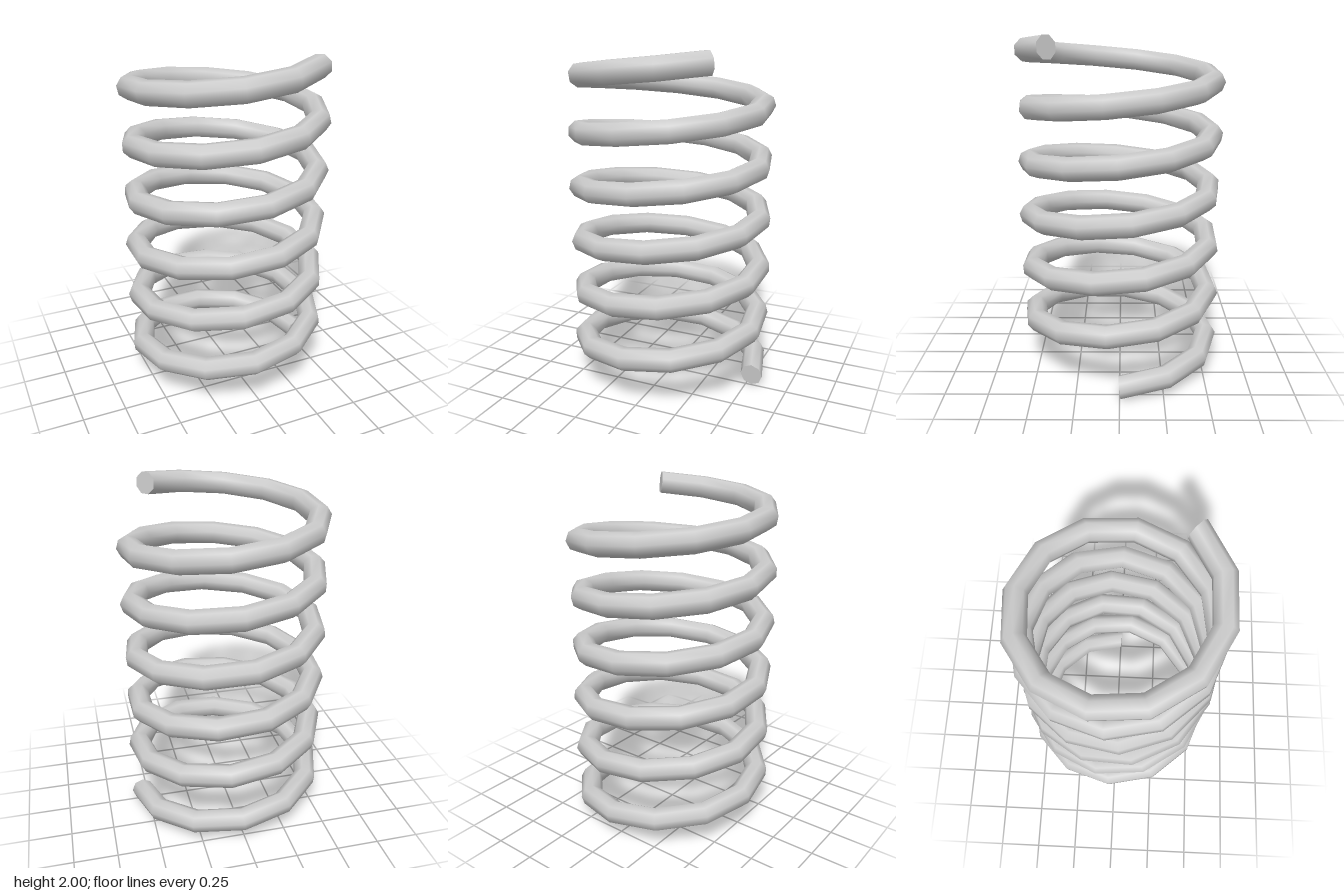
import * as THREE from 'three';

const COIL_RADIUS = 0.533;
const WIRE_RADIUS = 0.067;
const HEIGHT = 1.866; // between wire centres
const TURNS = 5.875;
const SEGMENTS = 72;
const SIDES = 8;

// Rising helix that starts on +x and turns towards the back
class Helix extends THREE.Curve {
  getPoint(t, target = new THREE.Vector3()) {
    const a = t * TURNS * Math.PI * 2;
    return target.set(
      COIL_RADIUS * Math.cos(a),
      WIRE_RADIUS + t * HEIGHT,
      -COIL_RADIUS * Math.sin(a)
    );
  }
}

// Flat fan that closes one ring of the tube
function endCap(tube, ring, reversed) {
  const pos = tube.attributes.position;
  const points = [];
  const centre = new THREE.Vector3();
  for (let j = 0; j < SIDES; j++) {
    const p = new THREE.Vector3().fromBufferAttribute(pos, ring * (SIDES + 1) + j);
    points.push(p);
    centre.addScaledVector(p, 1 / SIDES);
  }
  if (reversed) points.reverse();
  const corners = points.flatMap((p, j) => [centre, p, points[(j + 1) % SIDES]]);
  const geometry = new THREE.BufferGeometry().setFromPoints(corners);
  geometry.computeVertexNormals();
  return geometry;
}

export function createModel() {
  const group = new THREE.Group();
  group.name = 'coilSpring';
  const material = new THREE.MeshStandardMaterial({ color: 0xcccccc, side: THREE.DoubleSide });
  const add = (name, geometry) => {
    const mesh = new THREE.Mesh(geometry, material);
    mesh.name = name;
    group.add(mesh);
  };

  // Wire
  const tube = new THREE.TubeGeometry(new Helix(), SEGMENTS, WIRE_RADIUS, SIDES, false);
  add('coilWire', tube);

  // Closed wire ends
  add('bottomEnd', endCap(tube, 0, false));
  add('topEnd', endCap(tube, SEGMENTS, true));
  return group;
}
